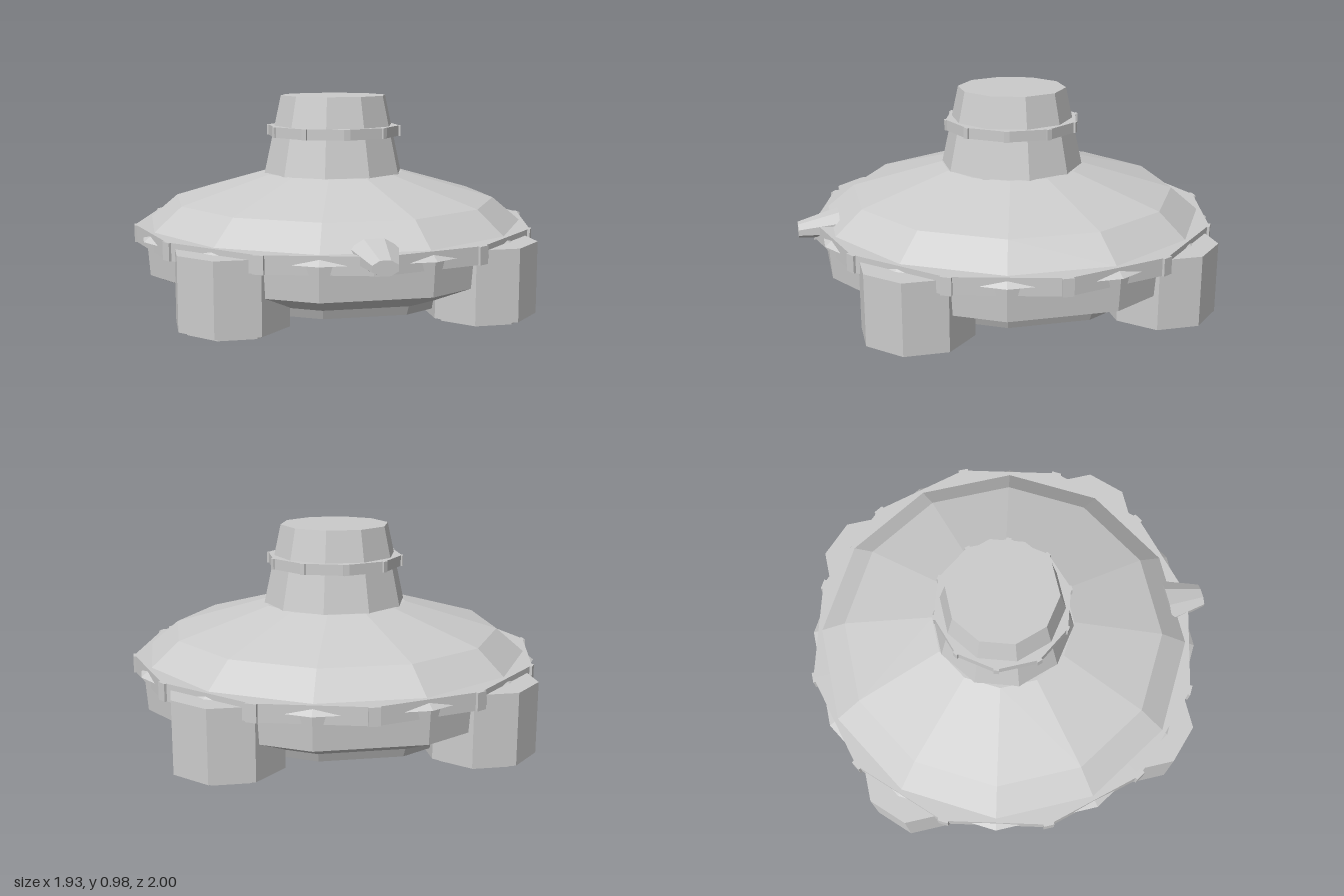
import * as THREE from 'three';

const material = new THREE.MeshStandardMaterial({ color: 0xcccccc, flatShading: true });

function add(parent, name, geometry, x = 0, y = 0, z = 0) {
  const mesh = new THREE.Mesh(geometry, material);
  mesh.name = name;
  mesh.position.set(x, y, z);
  parent.add(mesh);
  return mesh;
}

// Faceted prism or frustum between two heights; turn rotates the first corner from +z
function prism(rTop, rBottom, y0, y1, sides, turn = 0) {
  const g = new THREE.CylinderGeometry(rTop, rBottom, y1 - y0, sides);
  g.rotateY(turn);
  g.translate(0, (y0 + y1) / 2, 0);
  return g;
}

// Polygonal band with a small rib on each corner
function ribbedBand(parent, name, r, y0, y1, sides, ribWidth) {
  const band = new THREE.Group();
  band.name = name;
  add(band, name + 'Ring', prism(r, r, y0, y1, sides));
  for (let i = 0; i < sides; i++) {
    const a = (i / sides) * Math.PI * 2;
    const rib = add(band, name + 'Rib', new THREE.BoxGeometry(ribWidth, y1 - y0, 0.03),
      Math.sin(a) * (r - 0.01), (y0 + y1) / 2, Math.cos(a) * (r - 0.01));
    rib.rotation.y = a;
  }
  parent.add(band);
}

export function createModel() {
  const model = new THREE.Group();
  model.name = 'saucer';
  const body = new THREE.Group();
  body.name = 'body';
  body.position.z = -0.035;
  model.add(body);

  // Twelve-sided hull: bottom plate, sloped belly, wall, rim ledge and shallow dome
  const profile = [
    [0, 0.05], [0.715, 0.05], [0.735, 0.095], [0.745, 0.095], [0.93, 0.175],
    [0.942, 0.33], [0.958, 0.33], [0.908, 0.37], [0.778, 0.48], [0.34, 0.605], [0, 0.605],
  ].map(([r, y]) => new THREE.Vector2(r, y));
  add(body, 'hull', new THREE.LatheGeometry(profile, 12, Math.PI / 12).toNonIndexed());

  // Rim band, its corners set between those of the hull
  ribbedBand(body, 'rimBand', 0.96, 0.29, 0.37, 12, 0.05);

  // Ten-sided tower with its window band
  add(body, 'tower', prism(0.258, 0.34, 0.6, 0.975, 10, Math.PI / 10));
  ribbedBand(body, 'windowBand', 0.322, 0.78, 0.83, 10, 0.025);

  // Four octagonal legs with inset feet
  const flat = Math.cos(Math.PI / 8);
  for (const sx of [-1, 1]) {
    for (const sz of [-1, 1]) {
      const leg = new THREE.Group();
      leg.name = 'leg';
      leg.position.set(sx * 0.56, 0, sz * 0.56);
      add(leg, 'legColumn', prism(0.237 / flat, 0.237 / flat, 0.018, 0.345, 8, Math.PI / 8));
      add(leg, 'foot', prism(0.2 / flat, 0.2 / flat, 0, 0.02, 8, Math.PI / 8));
      body.add(leg);
    }
  }

  // Front nozzle: tapered octagonal block with a sloping top and nearly level base
  const nozzle = new THREE.CylinderGeometry(0.055 / flat, 0.105 / flat, 0.19, 8);
  nozzle.rotateY(Math.PI / 8);
  nozzle.rotateX(Math.PI / 2);
  nozzle.scale(1, 0.58, 1);
  const p = nozzle.attributes.position;
  for (let i = 0; i < p.count; i++) p.setY(i, p.getY(i) + 0.35 - p.getZ(i) * 0.12);
  nozzle.translate(0, 0, 0.905);
  add(model, 'nozzle', nozzle);

  return model;
}
